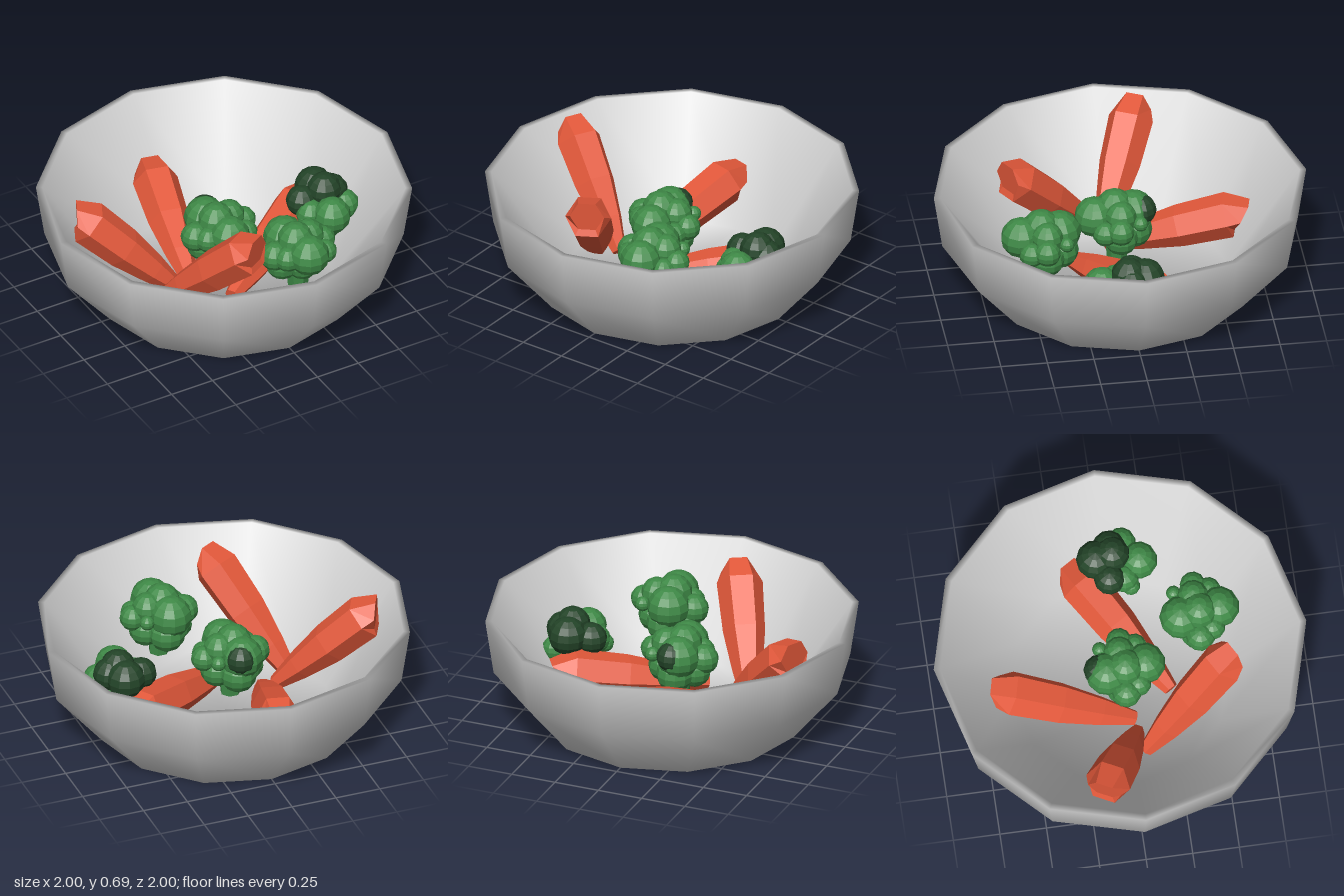
import * as THREE from 'three';

const material = (name, color) => {
  const m = new THREE.MeshStandardMaterial({ color });
  m.name = name;
  return m;
};

// Facet a geometry so that each polygon has its own normal
function faceted(geometry) {
  const g = geometry.toNonIndexed();
  g.computeVertexNormals();
  return g;
}

// Twelve-sided bowl: smooth lathed wall, closed by a base and an inner floor sharing its end rings
function bowlGeometry() {
  const sides = 12;
  const profile = [
    [0.7, 0], [0.955, 0.305], [1, 0.61], [0.965, 0.61], [0.58, 0.05],
  ].map(([x, y]) => new THREE.Vector2(x, y));
  const g = new THREE.LatheGeometry(profile, sides);
  const n = profile.length;
  const index = Array.from(g.index.array);
  for (let i = 1; i < sides - 1; i++) {
    const a = i * n, b = a + n;
    index.push(0, b, a, n - 1, a + n - 1, b + n - 1);
  }
  g.setIndex(index);
  return g;
}

// Six-sided carrot from a thin tip to a thick end with a slanted cut
function carrotGeometry(tip, end) {
  const start = new THREE.Vector3(...tip);
  const axis = new THREE.Vector3(...end).sub(start);
  const length = axis.length();
  axis.normalize();
  const side = axis.clone().cross(new THREE.Vector3(0, 1, 0)).normalize();
  const up = side.clone().cross(axis);
  const across = axis.clone().cross(up);
  // [distance along, radius, offset upward, lean of the ring]
  const rings = [
    [0, 0.04, 0, 0],
    [length * 0.25, 0.08, 0, 0],
    [length * 0.55, 0.113, 0, 0],
    [length - 0.07, 0.123, 0, 0],
    [length, 0.092, -0.015, Math.PI / 4],
  ];
  const sides = 6, pos = [], index = [];
  const add = (v) => pos.push(v.x, v.y, v.z);
  const centre = ([s, , lift]) => start.clone().addScaledVector(axis, s).addScaledVector(up, lift);
  for (const ring of rings) {
    const [, r, , lean] = ring;
    const ringUp = up.clone().multiplyScalar(Math.cos(lean)).addScaledVector(axis, Math.sin(lean));
    for (let j = 0; j < sides; j++) {
      const t = ((j + 0.5) / sides) * Math.PI * 2;
      add(centre(ring).addScaledVector(ringUp, r * Math.cos(t)).addScaledVector(across, r * Math.sin(t)));
    }
  }
  const last = (rings.length - 1) * sides;
  const tipCentre = rings.length * sides, endCentre = tipCentre + 1;
  add(centre(rings[0]));
  add(centre(rings[rings.length - 1]));
  for (let j = 0; j < sides; j++) {
    const k = (j + 1) % sides;
    for (let i = 0; i < last; i += sides) {
      index.push(i + j, i + k, i + sides + k, i + j, i + sides + k, i + sides + j);
    }
    index.push(tipCentre, k, j, endCentre, last + j, last + k);
  }
  const g = new THREE.BufferGeometry();
  g.setAttribute('position', new THREE.Float32BufferAttribute(pos, 3));
  g.setIndex(index);
  return faceted(g);
}

export function createModel() {
  const model = new THREE.Group();
  const grey = material('bowl grey', 0xd0d0d0);
  const orange = material('carrot orange', 0xe2583a);
  const green = material('broccoli green', 0x3f8a47);
  const darkGreen = material('dark green', 0x234428);

  const addMesh = (parent, name, geometry, mat, position = [0, 0, 0]) => {
    const mesh = new THREE.Mesh(geometry, mat);
    mesh.name = name;
    mesh.position.set(...position);
    parent.add(mesh);
  };
  // Clusters of balls given as x, y, z, radius
  const addBuds = (parent, name, list, mat) => list.forEach(([x, y, z, r]) =>
    addMesh(parent, name, faceted(new THREE.SphereGeometry(r, 11, 8)), mat, [x, y, z]));
  const addGroup = (name, position) => {
    const group = new THREE.Group();
    group.name = name;
    group.position.set(...position);
    model.add(group);
    return group;
  };

  addMesh(model, 'bowl', bowlGeometry(), grey);

  // Carrots leaning on the wall
  const carrots = [
    [[-0.235, 0.1, 0.05], [-0.065, 0.33, -0.66]],
    [[-0.31, 0.1, 0.05], [-0.78, 0.59, -0.19]],
    [[-0.42, 0.1, 0.08], [-0.14, 0.625, 0.575]],
    [[-0.1, 0.1, 0.26], [0.575, 0.23, -0.17]],
  ];
  carrots.forEach(([tip, end]) => addMesh(model, 'carrot', carrotGeometry(tip, end), orange));

  // Upright broccoli
  const buds = [
    [-0.03, 0, -0.08, 0.115], [-0.14, -0.03, 0.01, 0.08], [-0.02, 0.04, 0.02, 0.1],
    [0.07, 0.03, 0, 0.085], [0.15, -0.02, 0.01, 0.07], [-0.0, 0, 0.13, 0.11],
    [-0.1, -0.02, 0.08, 0.07], [0.11, 0, -0.1, 0.04], [0.12, -0.04, 0.09, 0.065],
  ];
  const lowerBuds = [
    [-0.01, -0.1, -0.08, 0.1], [-0.09, -0.1, 0, 0.09], [0.08, -0.1, 0, 0.09], [0, -0.1, 0.06, 0.085],
  ];
  for (const position of [[-0.04, 0.39, 0], [0.2, 0.45, 0.43]]) {
    const broccoli = addGroup('broccoli', position);
    addBuds(broccoli, 'floret', buds, green);
    addBuds(broccoli, 'lowerFloret', lowerBuds, green);
    addMesh(broccoli, 'stem', faceted(new THREE.CylinderGeometry(0.07, 0.055, 0.2, 7)), green, [0, -0.16, 0.01]);
  }
  // Dark bud behind the middle broccoli
  addBuds(model, 'darkFloret', [[-0.05, 0.405, -0.12, 0.083]], darkGreen);

  // Tipped-over broccoli showing its dark underside
  const tipped = addGroup('tippedBroccoli', [0.58, 0.34, 0.05]);
  addBuds(tipped, 'floret', [
    [-0.02, 0, 0.13, 0.1], [0.1, -0.02, 0.05, 0.08], [-0.1, -0.02, 0.04, 0.08],
    [0, -0.08, 0.02, 0.12], [0.1, -0.08, -0.04, 0.07], [-0.14, -0.05, 0.07, 0.05],
  ], green);
  addBuds(tipped, 'darkFloret', [
    [0, 0.04, -0.1, 0.105], [-0.11, 0.02, -0.04, 0.085], [0.06, 0.04, -0.02, 0.09], [0.01, 0.07, -0.01, 0.095],
  ], darkGreen);
  return model;
}
